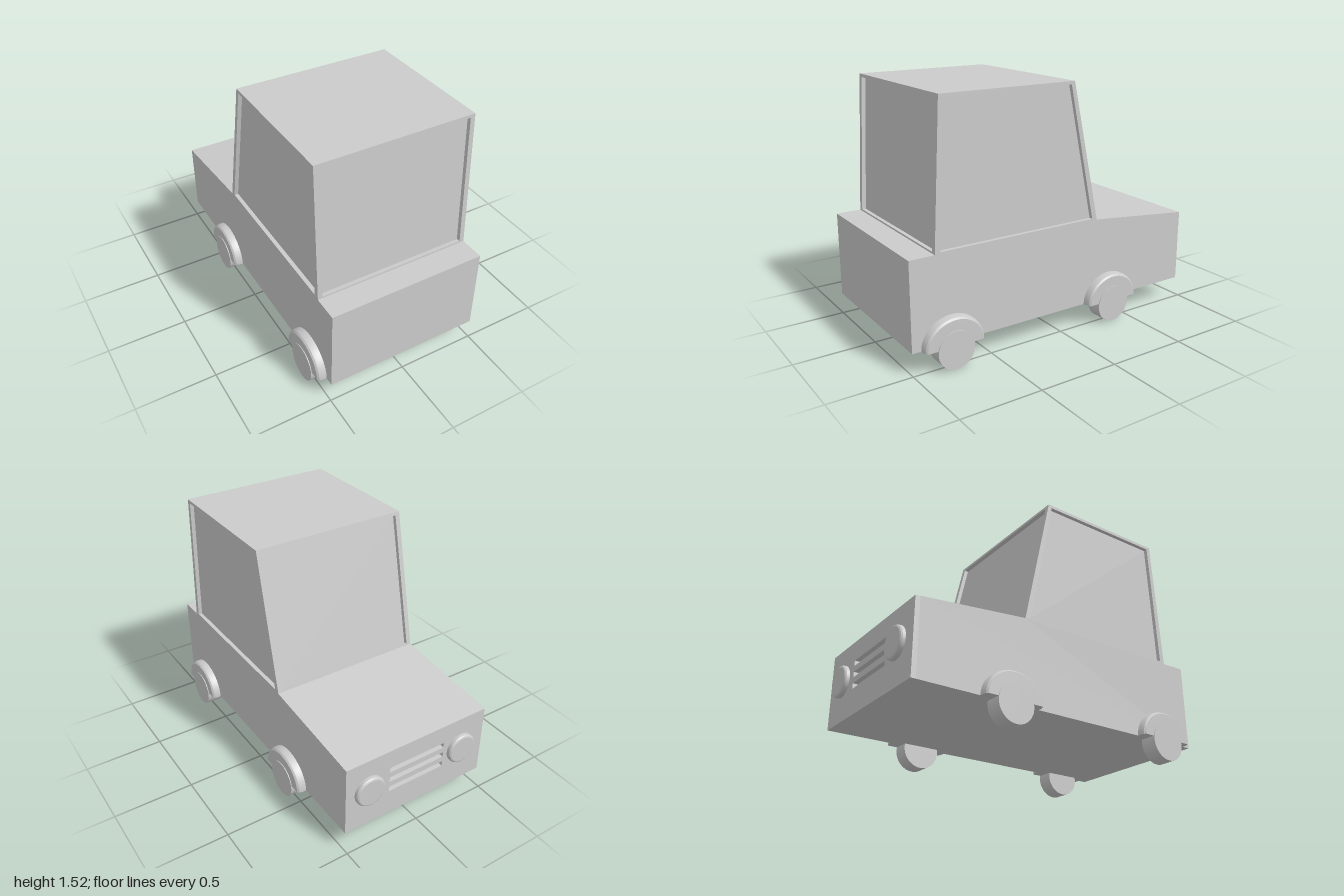
import * as THREE from 'three';
import { toCreasedNormals } from 'three/addons/utils/BufferGeometryUtils.js';

const W = 0.496;        // half width of body
const SILL = 0.135;     // underside height
const BELT = 0.67;      // bottom of the cabin
const ROOF = 1.525;
const NOSE = -0.97;     // the bonnet end points to -z
const mat = new THREE.MeshStandardMaterial({ color: 0xcccccc });
const thin = new THREE.MeshStandardMaterial({ color: 0xcccccc, side: THREE.DoubleSide });

function add(parent, name, geometry, material = mat) {
  const mesh = new THREE.Mesh(geometry, material);
  mesh.name = name;
  parent.add(mesh);
  return mesh;
}

const polygon = (pts) => new THREE.Shape(pts.map(([x, y]) => new THREE.Vector2(x, y)));

// Flat-shaded geometry from four-cornered faces, counter-clockwise from outside
function quads(list) {
  const pts = list.flatMap(([a, b, c, d]) => [a, b, c, a, c, d]);
  const g = new THREE.BufferGeometry().setFromPoints(pts);
  g.computeVertexNormals();
  return g;
}

// Turned part about the y axis, with crisp edges
function turned(profile, start = 0, length = Math.PI * 2) {
  const pts = profile.map(([r, y]) => new THREE.Vector2(r, y));
  return toCreasedNormals(new THREE.LatheGeometry(pts, 40, start, length), 0.45);
}

// Lower body: side profile drawn as (-z, y), extruded across the width
function addBody(car) {
  const back = -NOSE - 0.03;
  const hoodY = BELT - (0.075 * (back - 0.265)) / (-NOSE - 0.265);
  const side = polygon([[-1, SILL], [back, SILL], [back, hoodY], [0.265, BELT], [-1, BELT]]);
  const body = new THREE.ExtrudeGeometry(side, { depth: 2 * W, bevelEnabled: false });
  body.rotateY(Math.PI / 2).translate(-W, 0, 0);
  add(car, 'body', body);

  // Nose panel with three grille slots
  const face = polygon([[-W, SILL], [W, SILL], [W, 0.595], [-W, 0.595]]);
  for (const y of [0.315, 0.385, 0.455]) {
    const h = 0.017;
    face.holes.push(polygon([[-0.195, y - h], [-0.195, y + h], [0.195, y + h], [0.195, y - h]]));
  }
  const nose = new THREE.ExtrudeGeometry(face, { depth: 0.03, bevelEnabled: false });
  nose.translate(0, 0, NOSE);
  const p = nose.attributes.position;
  for (let i = 0; i < p.count; i++) { // follow the slope of the bonnet
    if (p.getY(i) > 0.59 && p.getZ(i) > NOSE + 0.01) p.setY(i, hoodY);
  }
  nose.computeVertexNormals();
  add(car, 'grillePanel', nose);
}

// One cabin side: frame around a recessed pane
function addWindow(cabin, name, outer) {
  const at = (u, v) => outer[0].clone().lerp(outer[1], u)
    .lerp(outer[3].clone().lerp(outer[2], u), v);
  const inner = [at(0.03, 0.012), at(0.97, 0.012), at(0.97, 0.977), at(0.03, 0.977)];
  const normal = outer[1].clone().sub(outer[0])
    .cross(outer[3].clone().sub(outer[0])).normalize();
  const pane = inner.map((v) => v.clone().addScaledVector(normal, -0.025));
  const frame = [];
  for (let i = 0; i < 4; i++) {
    const j = (i + 1) % 4;
    frame.push([outer[i], outer[j], inner[j], inner[i]]);
    frame.push([inner[i], inner[j], pane[j], pane[i]]);
  }
  add(cabin, name + 'Frame', quads(frame));
  add(cabin, name, quads([pane]));
}

function addCabin(car) {
  const cabin = new THREE.Group();
  cabin.name = 'cabin';
  car.add(cabin);
  const ring = (y, z1, z0) => [[-W, z1], [W, z1], [W, z0], [-W, z0]]
    .map(([x, z]) => new THREE.Vector3(x, y, z));
  const low = ring(BELT, 0.845, -0.265);
  const top = ring(ROOF, 0.8, -0.075);
  ['tailWindow', 'sideWindowPlusX', 'windshield', 'sideWindowMinusX'].forEach((name, i) => {
    const j = (i + 1) % 4;
    addWindow(cabin, name, [low[i], low[j], top[j], top[i]]);
  });
  add(cabin, 'roof', quads([top]));
}

// Wheel and half-round fender, built for +x and turned round for -x
function addWheel(car, side, z) {
  const unit = new THREE.Group();
  unit.name = 'wheelUnit';
  unit.position.z = z;
  if (side < 0) unit.rotation.y = Math.PI;
  car.add(unit);

  const wheel = new THREE.CylinderGeometry(0.115, 0.115, 0.105, 40);
  wheel.rotateZ(-Math.PI / 2).translate(0.5025, 0.115, 0);
  add(unit, 'wheel', wheel);

  const profile = [[0.19, W - 0.01], [0.19, 0.52], [0.184, 0.54], [0.174, 0.55], [0, 0.551]];
  const arch = turned(profile, Math.PI, Math.PI);
  arch.rotateZ(-Math.PI / 2).scale(1, 0.91, 1).translate(0, SILL, 0);
  add(unit, 'fender', arch, thin);

  // Flat underside of the fender
  const half = profile.slice(0, 4);
  const base = polygon([...half.map(([r, x]) => [x, r]),
    ...half.reverse().map(([r, x]) => [x, -r])]);
  const under = new THREE.ShapeGeometry(base);
  under.rotateX(Math.PI / 2).translate(0, SILL, 0);
  add(unit, 'fenderUnderside', under, thin);
}

export function createModel() {
  const car = new THREE.Group();
  car.name = 'car';
  addBody(car);
  addCabin(car);
  for (const z of [0.755, -0.37]) {
    for (const side of [1, -1]) addWheel(car, side, z);
  }
  // Headlights with a rounded rim
  for (const x of [-0.322, 0.34]) {
    const lamp = turned([[0.097, 0], [0.097, 0.018], [0.092, 0.026], [0.084, 0.03], [0, 0.03]]);
    lamp.rotateX(-Math.PI / 2).translate(x, 0.385, NOSE);
    add(car, 'headlight', lamp);
  }
  return car;
}
